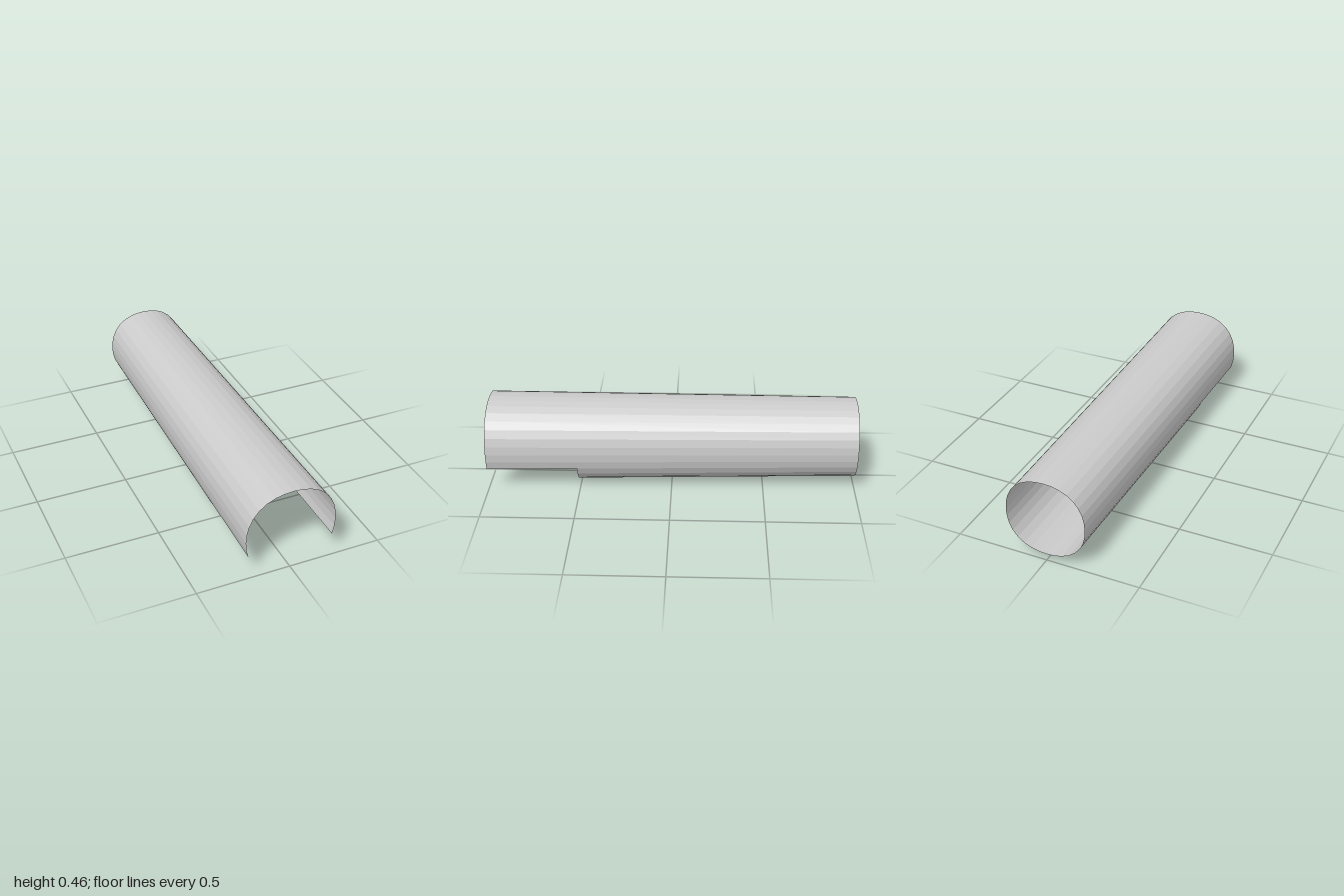
import * as THREE from 'three';

const SIDES = 32; // facets around the full tube
const FRONT = 1, BACK = -1, NOTCH = 0.51;

// Point on the tapering, slightly squared-off tube: i counts facets from +x, counter-clockwise
function tubePoint(i, z) {
  const f = (z - BACK) / (FRONT - BACK);
  const top = THREE.MathUtils.lerp(0.457, 0.461, f);
  const bottom = THREE.MathUtils.lerp(0.037, -0.012, f);
  const halfWidth = THREE.MathUtils.lerp(0.215, 0.242, f);
  const a = (i / SIDES) * Math.PI * 2;
  const bulge = 1 + 0.035 * Math.sin(2 * a) ** 2;
  return [
    halfWidth * bulge * Math.cos(a),
    (top + bottom) / 2 + ((top - bottom) / 2) * bulge * Math.sin(a),
    z,
  ];
}

// Open thin shell covering facets first..last between two z positions
function shell(name, first, last, zBack, zFront, material) {
  const positions = [], index = [];
  for (let i = first; i <= last; i++) {
    positions.push(...tubePoint(i, zBack), ...tubePoint(i, zFront));
    if (i < last) {
      const b = (i - first) * 2;
      index.push(b, b + 1, b + 3, b, b + 3, b + 2);
    }
  }
  const geometry = new THREE.BufferGeometry();
  geometry.setAttribute('position', new THREE.Float32BufferAttribute(positions, 3));
  geometry.setIndex(index);
  geometry.computeVertexNormals();
  const mesh = new THREE.Mesh(geometry, material);
  mesh.name = name;
  return mesh;
}

export function createModel() {
  const group = new THREE.Group();
  group.name = 'taperedSleeve';
  const material = new THREE.MeshStandardMaterial({
    color: 0xcccccc,
    flatShading: true,
    side: THREE.DoubleSide,
  });
  // Upper shell runs the full length; the underside stops at the front notch
  group.add(shell('upperShell', -2, 18, BACK, FRONT, material));
  group.add(shell('lowerShell', 18, 30, BACK, NOTCH, material));
  return group;
}
